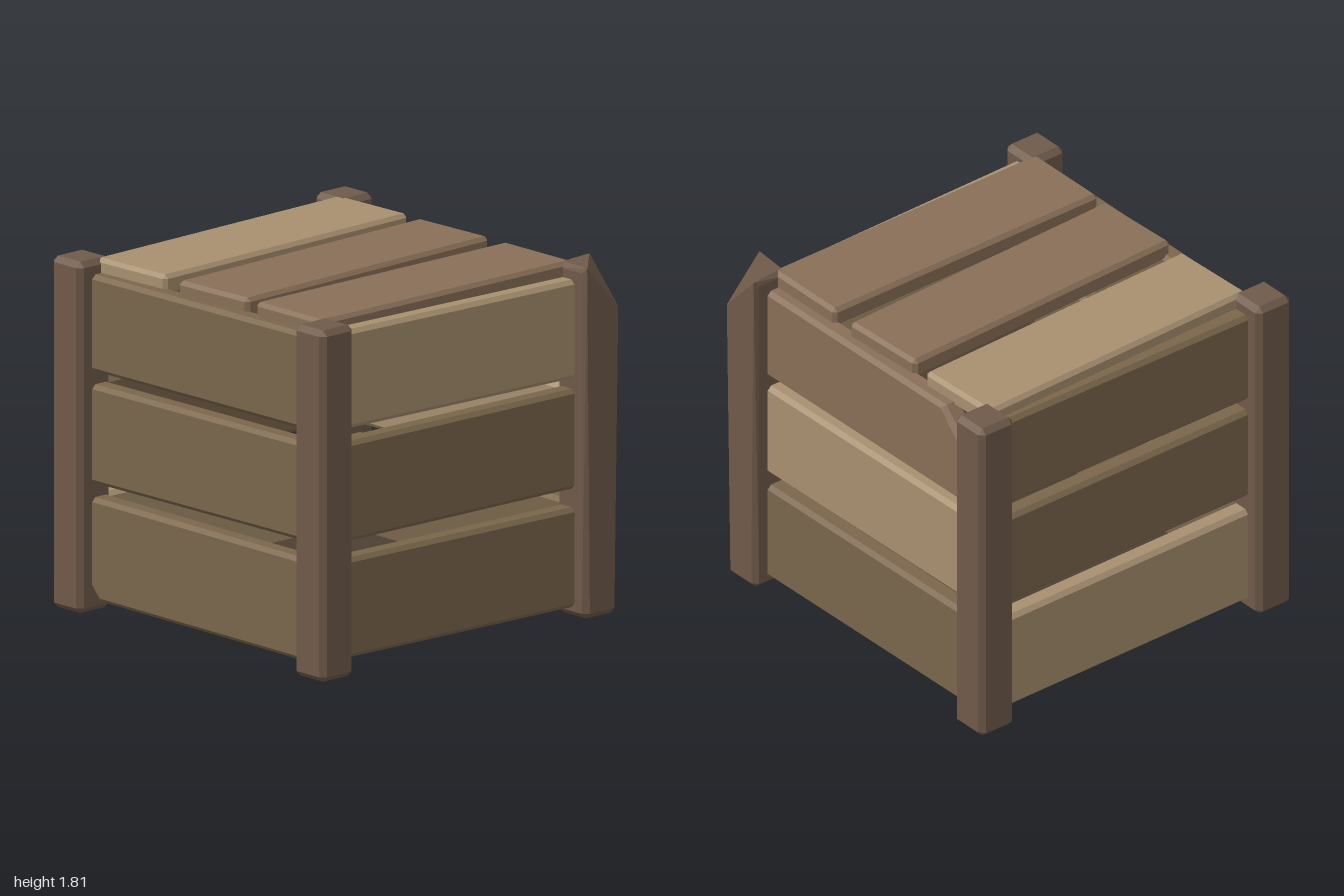
import * as THREE from 'three';
import { ConvexGeometry } from 'three/addons/geometries/ConvexGeometry.js';

const DARK = 0x7a664b, MID = 0x886f57, LIGHT = 0xa89070, POST = 0x705a49, FLOOR = 0x4d4033;

// Chamfered box; chip = { s: corner signs (z = 0 cuts through the whole depth), c: cut lengths }
function block(w, h, d, bevel, chip) {
  const H = [w / 2, h / 2, d / 2];
  let pts = [];
  for (const sx of [-1, 1]) for (const sy of [-1, 1]) for (const sz of [-1, 1]) {
    const s = [sx, sy, sz];
    if (chip && chip.s.every((v, i) => v === 0 || v === s[i])) continue;
    for (let a = 0; a < 3; a++) {
      pts.push(new THREE.Vector3(...s.map((v, i) => v * (H[i] - (i === a ? 0 : bevel)))));
    }
  }
  if (chip) {
    const { s, c } = chip;
    const add = (k, inset, z) => {
      const p = s.map((v, i) => v * (H[i] - inset - (i === k ? c[i] : 0)));
      if (z !== undefined) p[2] = z;
      pts.push(new THREE.Vector3(...p));
    };
    if (s[2] !== 0) for (let k = 0; k < 3; k++) add(k, 0);
    else for (let k = 0; k < 2; k++) for (const m of [-1, 1]) {
      add(k, 0, m * (H[2] - bevel));
      add(k, bevel, m * H[2]);
    }
  }
  return new ConvexGeometry(pts);
}

function part(name, geometry, color, x, y, z) {
  const mesh = new THREE.Mesh(geometry, new THREE.MeshStandardMaterial({ color }));
  mesh.name = name;
  mesh.position.set(x, y, z);
  return mesh;
}

export function createModel() {
  const crate = new THREE.Group();
  crate.name = 'crate';

  // Corner posts, one with its top outer corner broken off
  for (const sx of [-1, 1]) for (const sz of [-1, 1]) {
    const chip = sx > 0 && sz > 0 ? { s: [1, 1, 1], c: [0.21, 0.23, 0.21] } : null;
    crate.add(part('cornerPost', block(0.22, 1.81, 0.22, 0.028, chip), POST, sx * 0.89, 0.905, sz * 0.89));
  }

  // Side walls: each board is [centre y, height, tilt, colour, chip]
  const walls = {
    front: [0, [
      [0.315, 0.515, -0.012, DARK],
      [0.92, 0.515, -0.005, DARK],
      [1.492, 0.51, -0.014, LIGHT],
    ]],
    right: [Math.PI / 2, [
      [0.32, 0.54, 0.008, DARK],
      [0.92, 0.515, 0.012, LIGHT],
      [1.48, 0.505, 0.006, MID, { s: [1, 1, 0], c: [0.26, 0.27, 0] }],
    ]],
    back: [Math.PI, [
      [0.32, 0.53, 0.006, LIGHT],
      [0.92, 0.51, 0.004, DARK],
      [1.49, 0.5, -0.005, DARK],
    ]],
    left: [-Math.PI / 2, [
      [0.32, 0.53, -0.006, DARK, { s: [-1, -1, 0], c: [0.12, 0.12, 0] }],
      [0.92, 0.51, 0.005, DARK],
      [1.49, 0.5, 0.004, DARK],
    ]],
  };
  for (const [side, [turn, boards]] of Object.entries(walls)) {
    const wall = new THREE.Group();
    wall.name = side + 'Wall';
    wall.rotation.y = turn;
    for (const [y, h, tilt, color, chip] of boards) {
      const board = part(side + 'Board', block(1.72, h, 0.115, 0.022, chip), color, 0, y, 0.86);
      board.rotation.z = tilt;
      wall.add(board);
    }
    crate.add(wall);
  }

  // Lid boards: [centre z, turn, colour]
  for (const [z, turn, color] of [[0.585, 0, MID], [-0.003, 0.036, MID], [-0.6, 0.031, LIGHT]]) {
    const board = part('lidBoard', block(1.7, 0.105, 0.495, 0.02), color, 0, 1.757, z);
    board.rotation.y = turn;
    crate.add(board);
  }

  // Floor panel
  crate.add(part('floor', new THREE.BoxGeometry(1.66, 0.06, 1.66), FLOOR, 0, 0.095, 0));
  return crate;
}
